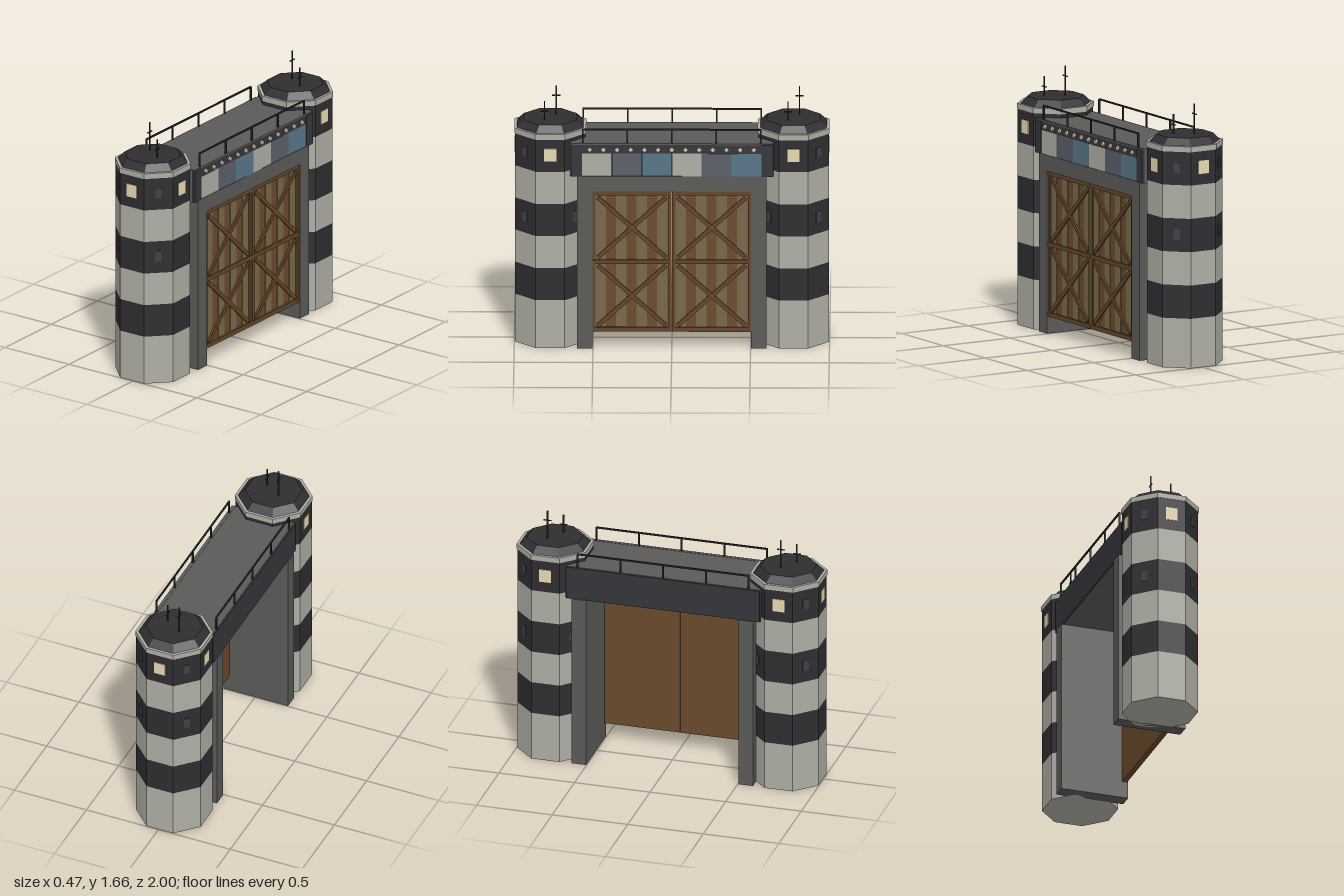
import * as THREE from 'three';

const mat = (color) => new THREE.MeshStandardMaterial({ color, flatShading: true });
const M = {
  light: mat(0xaeaea5), dark: mat(0x2e2e31), wall: mat(0x5a5a59), trim: mat(0x34363b),
  lamp: mat(0xe8d9b0), slit: mat(0x3f3f45), metal: mat(0x26282a), slate: mat(0x5a5f69),
  blue: mat(0x587688), door: mat(0x6b4a2d), plank: mat(0x776848), beam: mat(0x63452a), diamond: mat(0xdcc6a8),
};

function add(parent, name, geometry, material, x = 0, y = 0, z = 0) {
  const mesh = new THREE.Mesh(geometry, material);
  mesh.name = name;
  mesh.position.set(x, y, z);
  parent.add(mesh);
  return mesh;
}

// Box given by its minimum and maximum corners
function box(parent, name, material, [x0, y0, z0], [x1, y1, z1]) {
  return add(parent, name, new THREE.BoxGeometry(x1 - x0, y1 - y0, z1 - z0), material,
    (x0 + x1) / 2, (y0 + y1) / 2, (z0 + z1) / 2);
}

// Eight-sided drum with flats facing the axes; sizes are centre-to-flat distances
function octagon(parent, name, material, bottom, top, y0, y1) {
  const k = 1 / Math.cos(Math.PI / 8);
  const g = new THREE.CylinderGeometry(top * k, bottom * k, y1 - y0, 8, 1, false, Math.PI / 8);
  return add(parent, name, g, material, 0, (y0 + y1) / 2, 0);
}

function createTower(z) {
  const tower = new THREE.Group();
  tower.name = 'tower';
  tower.position.set(-0.009, 0, z);
  const R = 0.224;

  // Striped body
  const levels = [0, 0.32, 0.535, 0.75, 0.965, 1.18, 1.4];
  for (let i = 0; i < 6; i++) {
    octagon(tower, 'towerBand', i % 2 ? M.dark : M.light, R, R, levels[i], levels[i + 1]);
  }
  // Cornice and roof
  octagon(tower, 'cornice', M.light, 0.228, 0.228, 1.395, 1.43);
  octagon(tower, 'roof', M.dark, 0.21, 0.168, 1.43, 1.474);

  // Lit windows on the straight faces, slits on the diagonal ones
  for (let i = 0; i < 8; i++) {
    const a = (i * Math.PI) / 4;
    const place = (name, m, w, h, y) => {
      const win = add(tower, name, new THREE.BoxGeometry(w, h, 0.008), m, R * Math.sin(a), y, R * Math.cos(a));
      win.rotation.y = a;
    };
    if (i % 2 === 0) {
      place('litWindow', M.lamp, 0.078, 0.086, 1.292);
    } else {
      place('slitWindow', M.slit, 0.042, 0.066, 1.292);
      place('slitWindow', M.slit, 0.042, 0.07, 0.862);
    }
  }
  // Antennas with crossbars
  for (const [x, dz, top, bar] of [[-0.05, -0.037, 1.665, 1.6], [0.061, 0.036, 1.597, 1.53]]) {
    box(tower, 'antenna', M.metal, [x - 0.004, 1.46, dz - 0.004], [x + 0.004, top, dz + 0.004]);
    box(tower, 'antennaBar', M.metal, [x - 0.003, bar - 0.003, dz - 0.026], [x + 0.003, bar + 0.003, dz + 0.026]);
  }
  return tower;
}

// One door leaf, spanning z = 0.003 to 0.503
function createDoor() {
  const door = new THREE.Group();
  door.name = 'door';
  const y0 = 0.11, y1 = 1.05, x = 0.2, mid = 0.577;
  box(door, 'doorPanel', M.door, [0.18, y0, 0.002], [x, y1, 0.504]);

  // Alternating planks
  for (let i = 0; i < 4; i++) {
    const z = 0.06 + i * 0.13;
    box(door, 'plank', M.plank, [x, y0 + 0.03, z - 0.033], [x + 0.004, y1 - 0.03, Math.min(z + 0.033, 0.485)]);
  }
  // Frame
  for (const z of [0.002, 0.484]) {
    box(door, 'stile', M.beam, [x, y0, z], [x + 0.012, y1, z + 0.02]);
  }
  for (const y of [y0 + 0.014, mid, y1 - 0.014]) {
    box(door, 'rail', M.beam, [x, y - 0.014, 0.002], [x + 0.014, y + 0.014, 0.504]);
  }
  // Crossed braces in both halves
  for (const [a, b] of [[0.15, 0.55], [0.605, 1.005]]) {
    const h = b - a, w = 0.43;
    for (const s of [-1, 1]) {
      const brace = add(door, 'brace', new THREE.BoxGeometry(0.012, 0.026, Math.hypot(h, w)), M.beam,
        x + 0.008, (a + b) / 2, 0.253);
      brace.rotation.x = s * Math.atan2(h, w);
    }
  }
  return door;
}

function createRailing(x) {
  const railing = new THREE.Group();
  railing.name = 'railing';
  const r = 0.005;
  box(railing, 'handrail', M.metal, [x - r, 1.456, -0.568], [x + r, 1.466, 0.568]);
  for (let i = -2; i <= 2; i++) {
    const z = i * 0.2825;
    box(railing, 'railingPost', M.metal, [x - r, 1.36, z - r], [x + r, 1.46, z + r]);
  }
  return railing;
}

export function createModel() {
  const gate = new THREE.Group();
  gate.name = 'gatehouse';
  gate.add(createTower(0.772), createTower(-0.772));

  // Side piers and lintel
  for (const s of [-1, 1]) {
    const z = [0.504 * s, 0.6 * s].sort((a, b) => a - b);
    box(gate, 'pier', M.wall, [-0.228, 0, z[0]], [0.221, 1.152, z[1]]);
  }
  box(gate, 'lintel', M.wall, [0.16, 1.05, -0.505], [0.221, 1.152, 0.505]);

  // Bridge deck with dark rear fascia
  box(gate, 'bridge', M.wall, [-0.21, 1.15, -0.645], [0.21, 1.37, 0.645]);
  box(gate, 'rearFascia', M.trim, [-0.22, 1.15, -0.64], [-0.209, 1.367, 0.64]);

  // Front fascia: lamp strip, coloured panels and end blocks
  box(gate, 'lampStrip', M.trim, [0.2, 1.305, -0.57], [0.221, 1.362, 0.57]);
  box(gate, 'ledge', M.wall, [0.2, 1.362, -0.64], [0.222, 1.372, 0.64]);
  const panels = [M.light, M.slate, M.blue];
  for (let i = 0; i < 6; i++) {
    const z = 0.57 - i * 0.19;
    box(gate, 'panel', panels[i % 3], [0.2, 1.154, z - 0.188], [0.222, 1.305, z]);
  }
  for (const s of [-1, 1]) {
    add(gate, 'endBlock', new THREE.BoxGeometry(0.028, 0.212, 0.07), M.trim, 0.212, 1.257, 0.605 * s);
  }
  for (let i = -6; i <= 6; i++) {
    const lamp = add(gate, 'lamp', new THREE.BoxGeometry(0.014, 0.024, 0.024), M.diamond, 0.226, 1.332, i * 0.0868);
    lamp.rotation.x = Math.PI / 4;
  }
  gate.add(createRailing(0.208), createRailing(-0.208));

  // Pair of door leaves
  const left = createDoor();
  const right = createDoor();
  right.position.z = -0.506;
  gate.add(left, right);
  return gate;
}
